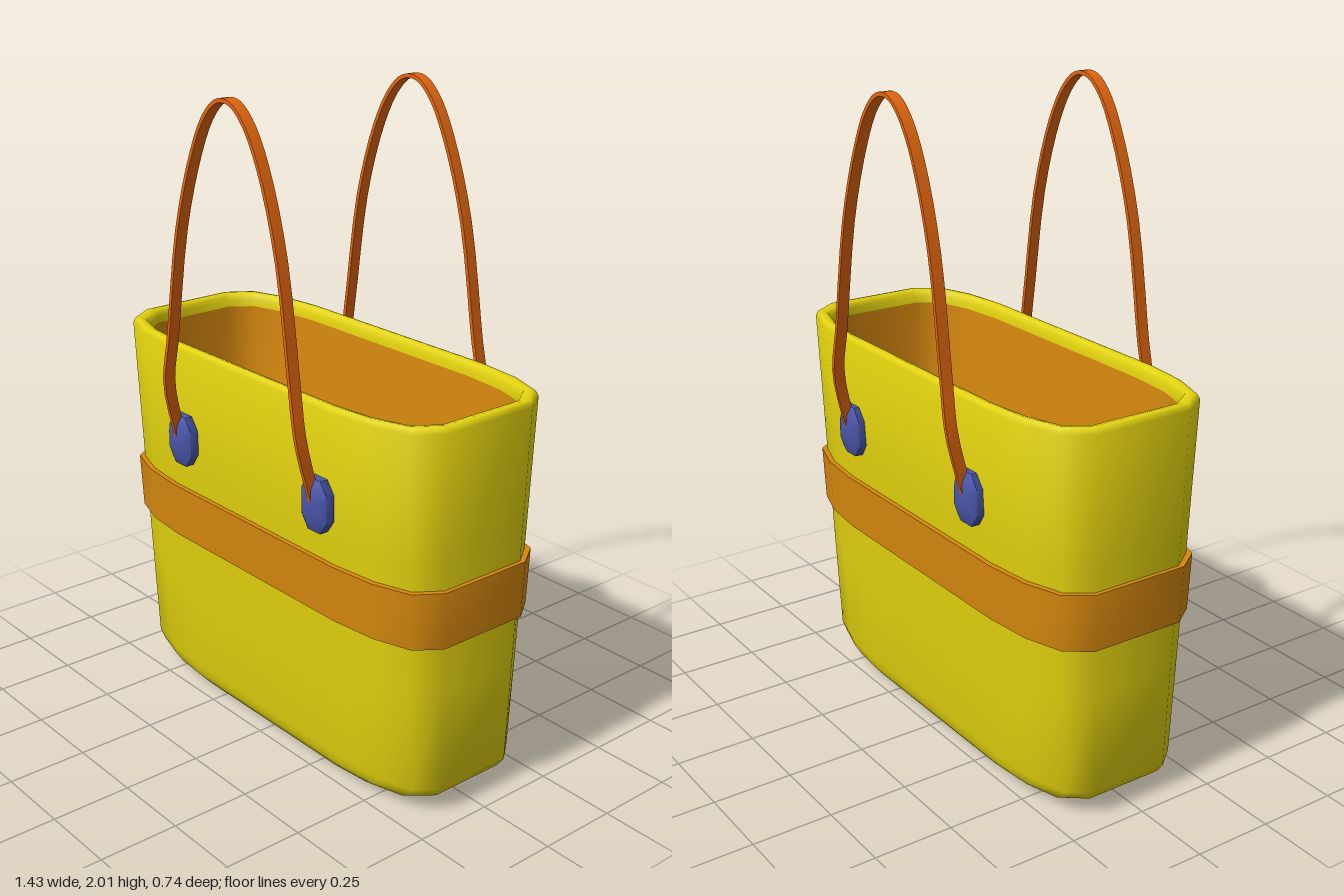
import * as THREE from 'three';
import { toCreasedNormals } from 'three/addons/utils/BufferGeometryUtils.js';

const material = (name, color) => {
  const m = new THREE.MeshStandardMaterial({ color });
  m.name = name;
  return m;
};

// Skin closed rings of points; each ring runs from +x towards +z
function skin(rings, crease) {
  const n = rings[0].length, index = [];
  for (let i = 0; i < rings.length - 1; i++) {
    for (let j = 0; j < n; j++) {
      const a = i * n + j, b = i * n + (j + 1) % n;
      index.push(a, a + n, b, b, a + n, b + n);
    }
  }
  const g = new THREE.BufferGeometry().setFromPoints(rings.flat());
  g.setIndex(index);
  return toCreasedNormals(g, crease);
}

// Rounded-rectangle outline, one quadrant mirrored round to 16 points
const quarter = [[1, 0.54], [0.925, 0.81], [0.76, 0.945], [0.55, 1]];
const back = [...quarter].reverse();
const outline = [
  ...quarter,
  ...back.map(([x, z]) => [-x, z]),
  ...quarter.map(([x, z]) => [-x, -z]),
  ...back.map(([x, z]) => [x, -z]),
];

// Loft the outline through levels of [y, half width, half depth]
const loft = (levels, crease = 1) => skin(
  levels.map(([y, w, d]) => outline.map(([x, z]) => new THREE.Vector3(x * w, y, z * d))), crease);

// Flat strap swept along half a path and its mirror image
function strapGeometry() {
  const half = [
    [-0.325, 0.92, 0.308], [-0.314, 1.11, 0.35], [-0.288, 1.26, 0.349], [-0.23, 1.605, 0.345],
    [-0.155, 1.83, 0.342], [-0.09, 1.945, 0.342], [-0.03, 1.994, 0.342],
  ];
  const path = [...half, ...[...half].reverse().map(([x, y, z]) => [-x, y, z])];
  const curve = new THREE.CatmullRomCurve3(path.map((p) => new THREE.Vector3(...p)));
  const zAxis = new THREE.Vector3(0, 0, 1);
  const rings = [];
  for (let i = 0; i <= 48; i++) {
    const p = curve.getPoint(i / 48);
    const side = curve.getTangent(i / 48).cross(zAxis).normalize();
    rings.push([[1, -1], [1, 1], [-1, 1], [-1, -1]].map(([u, v]) =>
      p.clone().addScaledVector(side, u * 0.006).addScaledVector(zAxis, v * 0.018)));
  }
  return skin(rings, 0.6);
}

// Faceted oval bead with a bevelled face, pointing along +z
function beadGeometry() {
  const oval = [[1, 0.5], [0.5, 1], [-0.5, 1], [-1, 0.5], [-1, -0.5], [-0.5, -1], [0.5, -1], [1, -0.5]];
  const levels = [[-0.03, 0], [-0.03, 0.75], [-0.015, 1], [0.012, 1], [0.028, 0.65], [0.03, 0]];
  const rings = levels.map(([h, s]) =>
    oval.map(([x, y]) => new THREE.Vector3(x * s * 0.055, h, y * s * 0.08)));
  return skin(rings, 0.9).rotateX(Math.PI / 2);
}

export function createModel() {
  const yellow = material('yellow shell', 0xe2d20e);
  const amber = material('amber band and lining', 0xd6880e);
  const orange = material('orange strap and floor', 0xe2660f);
  const blue = material('blue bead', 0x4a56aa);

  const model = new THREE.Group();
  model.name = 'handbag';
  const add = (parent, name, geometry, mat) => {
    const mesh = new THREE.Mesh(geometry, mat);
    mesh.name = name;
    parent.add(mesh);
    return mesh;
  };

  // Shell, from the middle of the base up and over the rim
  const body = new THREE.Group();
  body.name = 'body';
  body.position.z = -0.006;
  model.add(body);
  add(body, 'shell', loft([
    [0, 0, 0], [0.002, 0.52, 0.19], [0.012, 0.58, 0.21], [0.03, 0.635, 0.225], [0.05, 0.67, 0.233],
    [0.08, 0.692, 0.239], [0.4, 0.697, 0.257], [0.8, 0.703, 0.278], [1.195, 0.709, 0.299],
    [1.21, 0.702, 0.292], [1.212, 0.69, 0.282], [1.208, 0.672, 0.268], [1.19, 0.665, 0.262],
    [1.17, 0.664, 0.26],
  ]), yellow);

  // Lining walls and floor
  add(body, 'lining', loft([[1.17, 0.664, 0.26], [0.6, 0.655, 0.23], [0.08, 0.645, 0.203]]), amber);
  add(body, 'floor', loft([[0.08, 0.645, 0.203], [0.055, 0.61, 0.19], [0.04, 0.52, 0.16], [0.04, 0, 0]]), orange);

  // Band around the middle
  add(body, 'band', loft([
    [0.555, 0.698, 0.264], [0.555, 0.712, 0.28], [0.73, 0.715, 0.29], [0.73, 0.7, 0.272],
  ]), amber);

  // Handles with their beads, front and back
  const strap = strapGeometry(), bead = beadGeometry();
  for (const front of [true, false]) {
    const handle = new THREE.Group();
    handle.name = front ? 'frontHandle' : 'backHandle';
    handle.position.set(0.017, 0, -0.002);
    if (!front) handle.rotation.y = Math.PI;
    model.add(handle);
    add(handle, 'strap', strap, orange);
    for (const side of [-1, 1]) {
      add(handle, side < 0 ? 'beadA' : 'beadB', bead, blue).position.set(side * 0.324, 0.91, 0.298);
    }
  }
  return model;
}
